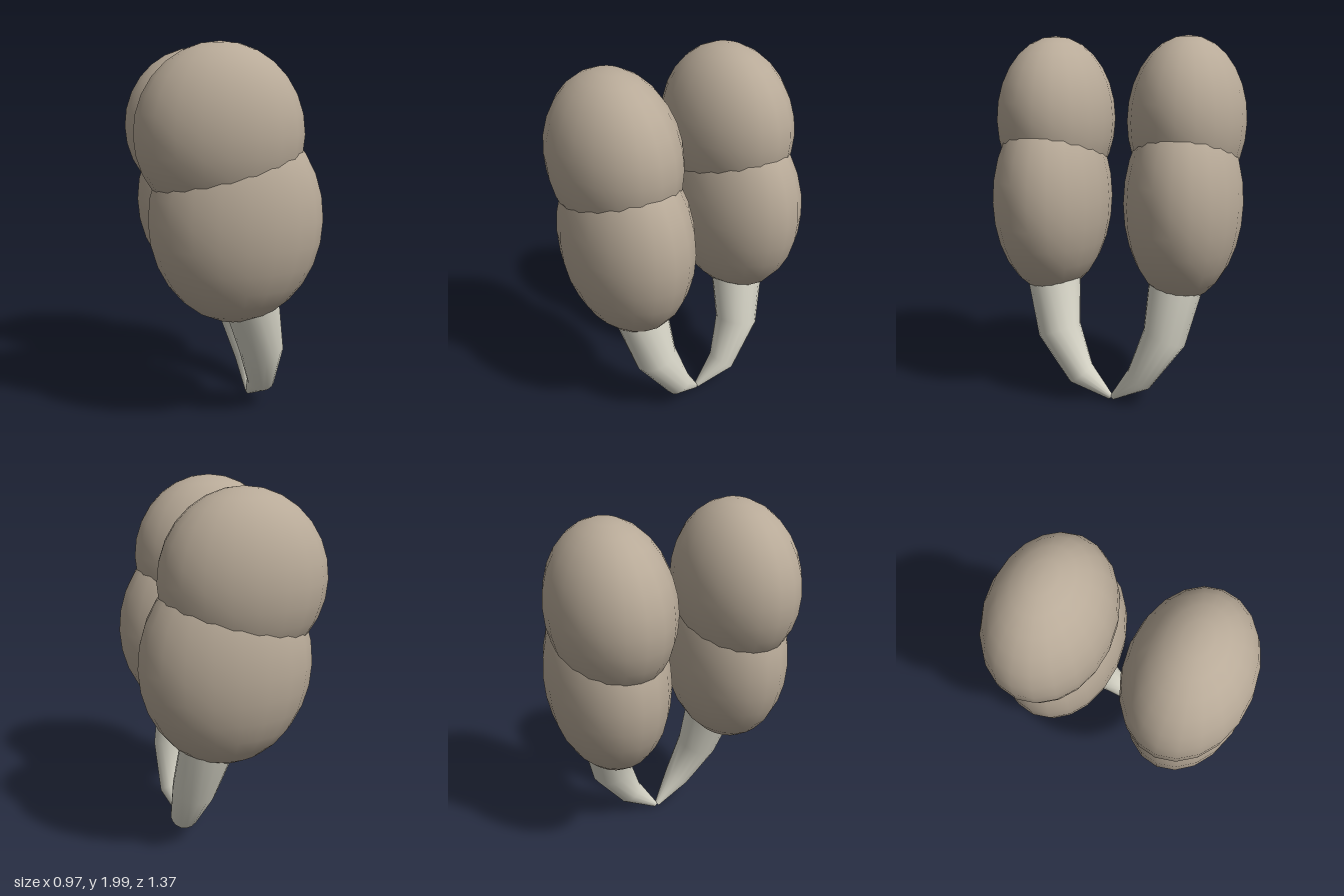
import * as THREE from 'three';

const shellMat = new THREE.MeshStandardMaterial({ color: 0xb8aa98 });
shellMat.name = 'taupe';
const fangMat = new THREE.MeshStandardMaterial({ color: 0xdad8ca });
fangMat.name = 'ivory';

// Smooth ellipsoid segment
function lobe(name, center, radii) {
  const mesh = new THREE.Mesh(new THREE.SphereGeometry(1, 20, 14), shellMat);
  mesh.name = name;
  mesh.position.set(...center);
  mesh.scale.set(...radii);
  return mesh;
}

// Tapered tube: one ring per station [x, y, z, radius], square to the bend, closed at the tip
function fangGeometry(stations, sides) {
  const centers = stations.map(([x, y, z]) => new THREE.Vector3(x, y, z));
  const pos = [], index = [];
  const last = stations.length - 1;
  const direction = (i) => centers[i + 1].clone().sub(centers[i]).normalize();
  stations.forEach(([, , , r], i) => {
    const t = direction(Math.min(i, last - 1));
    if (i > 0 && i < last) t.add(direction(i - 1)).normalize();
    const u = new THREE.Vector3(1, 0, 0);
    u.addScaledVector(t, -u.dot(t)).normalize();
    const v = t.clone().cross(u);
    for (let j = 0; j < sides; j++) {
      const a = (j / sides) * Math.PI * 2;
      const p = centers[i].clone()
        .addScaledVector(u, r * Math.cos(a))
        .addScaledVector(v, r * Math.sin(a));
      pos.push(p.x, p.y, p.z);
    }
  });
  const tip = pos.length / 3;
  pos.push(...centers[last].toArray());
  for (let i = 0; i <= last; i++) {
    for (let j = 0; j < sides; j++) {
      const a = i * sides + j, b = i * sides + (j + 1) % sides;
      if (i < last) index.push(a, b, a + sides, b, b + sides, a + sides);
      else index.push(a, b, tip);
    }
  }
  const geo = new THREE.BufferGeometry();
  geo.setAttribute('position', new THREE.Float32BufferAttribute(pos, 3));
  geo.setIndex(index);
  geo.computeVertexNormals();
  return geo;
}

export function createModel() {
  const group = new THREE.Group();
  group.name = 'mandibles';
  // Mirrored pair, front and back
  for (const s of [1, -1]) {
    const half = new THREE.Group();
    half.name = s > 0 ? 'frontMandible' : 'backMandible';
    half.add(lobe('upperLobe', [-0.055, 1.55, s * 0.367], [0.43, 0.45, 0.32]));
    half.add(lobe('lowerLobe', [0.03, 1.12, s * 0.367], [0.45, 0.54, 0.32]));
    // Fang curves inward to meet its twin at the tip
    const fang = new THREE.Mesh(fangGeometry([
      [0.1, 0.75, s * 0.355, 0.155],
      [0.185, 0.395, s * 0.295, 0.12],
      [0.215, 0.16, s * 0.165, 0.078],
      [0.18, 0.018, s * 0.006, 0.016],
    ], 16), fangMat);
    fang.name = 'fang';
    half.add(fang);
    group.add(half);
  }
  return group;
}
